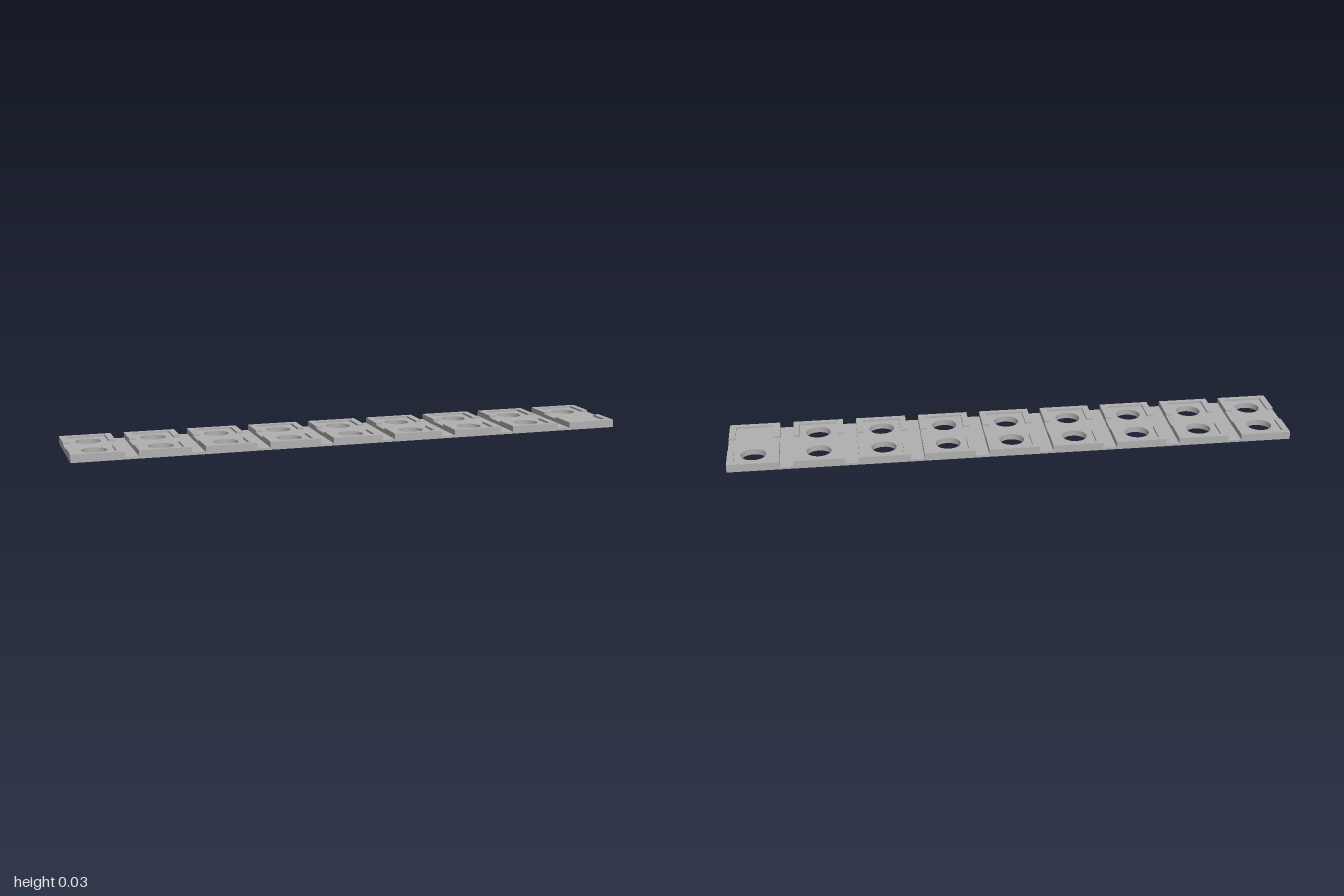
import * as THREE from 'three';

const COUNT = 9, PITCH = 0.2275;
const HALF_W = 0.09, HALF_D = 0.1615;      // tile half width and depth
const POCKET_W = 0.067, POCKET_D = 0.142;  // recessed pocket half size
const NOTCH = 0.047;                       // half width of the central channel
const HOLE_R = 0.044, HOLE_Z = 0.076;
const BASE_Y = 0.008, FLOOR_Y = 0.021, TOP_Y = 0.028;

// Shape from plan points (x, z)
function plan(points) {
  return new THREE.Shape(points.map(([x, z]) => new THREE.Vector2(x, -z)));
}

function rectangle(w, d) {
  return plan([[-w, d], [w, d], [w, -d], [-w, -d]]);
}

function addHole(shape, x, z) {
  const hole = new THREE.Path();
  hole.absarc(x, -z, HOLE_R, 0, Math.PI * 2, true);
  shape.holes.push(hole);
}

// Upright slab between two heights
function slab(name, shape, y0, y1, material) {
  const geometry = new THREE.ExtrudeGeometry(shape, { depth: y1 - y0, bevelEnabled: false, curveSegments: 16 });
  geometry.rotateX(-Math.PI / 2).translate(0, y0, 0);
  const mesh = new THREE.Mesh(geometry, material);
  mesh.name = name;
  return mesh;
}

export function createModel() {
  const model = new THREE.Group();
  model.name = 'segmentedStrip';
  const grey = new THREE.MeshStandardMaterial({ color: 0xb0b0b0 });
  grey.name = 'grey';

  const base = rectangle(1, HALF_D);

  for (let i = 0; i < COUNT; i++) {
    const x = (i - (COUNT - 1) / 2) * PITCH;
    const tile = new THREE.Group();
    tile.name = `tile${i + 1}`;
    tile.position.x = x;

    // Tile floor, with the front hole left out of the last tile
    const floor = rectangle(HALF_W, HALF_D);
    for (const side of [-1, 1]) {
      if (i === COUNT - 1 && side === 1) continue;
      addHole(base, x, side * HOLE_Z);
      addHole(floor, 0, side * HOLE_Z);
    }
    tile.add(slab('tileFloor', floor, BASE_Y, FLOOR_Y, grey));

    // U-shaped rims, open towards the central channel
    for (const side of [-1, 1]) {
      const rim = plan([
        [-HALF_W, NOTCH], [-HALF_W, HALF_D], [HALF_W, HALF_D], [HALF_W, NOTCH],
        [POCKET_W, NOTCH], [POCKET_W, POCKET_D], [-POCKET_W, POCKET_D], [-POCKET_W, NOTCH],
      ].map(([px, pz]) => [px, pz * side]));
      tile.add(slab(side > 0 ? 'frontRim' : 'backRim', rim, FLOOR_Y, TOP_Y, grey));
    }
    model.add(tile);
  }

  // Thin backing sheet joining all tiles
  model.add(slab('baseSheet', base, 0, BASE_Y, grey));
  return model;
}
